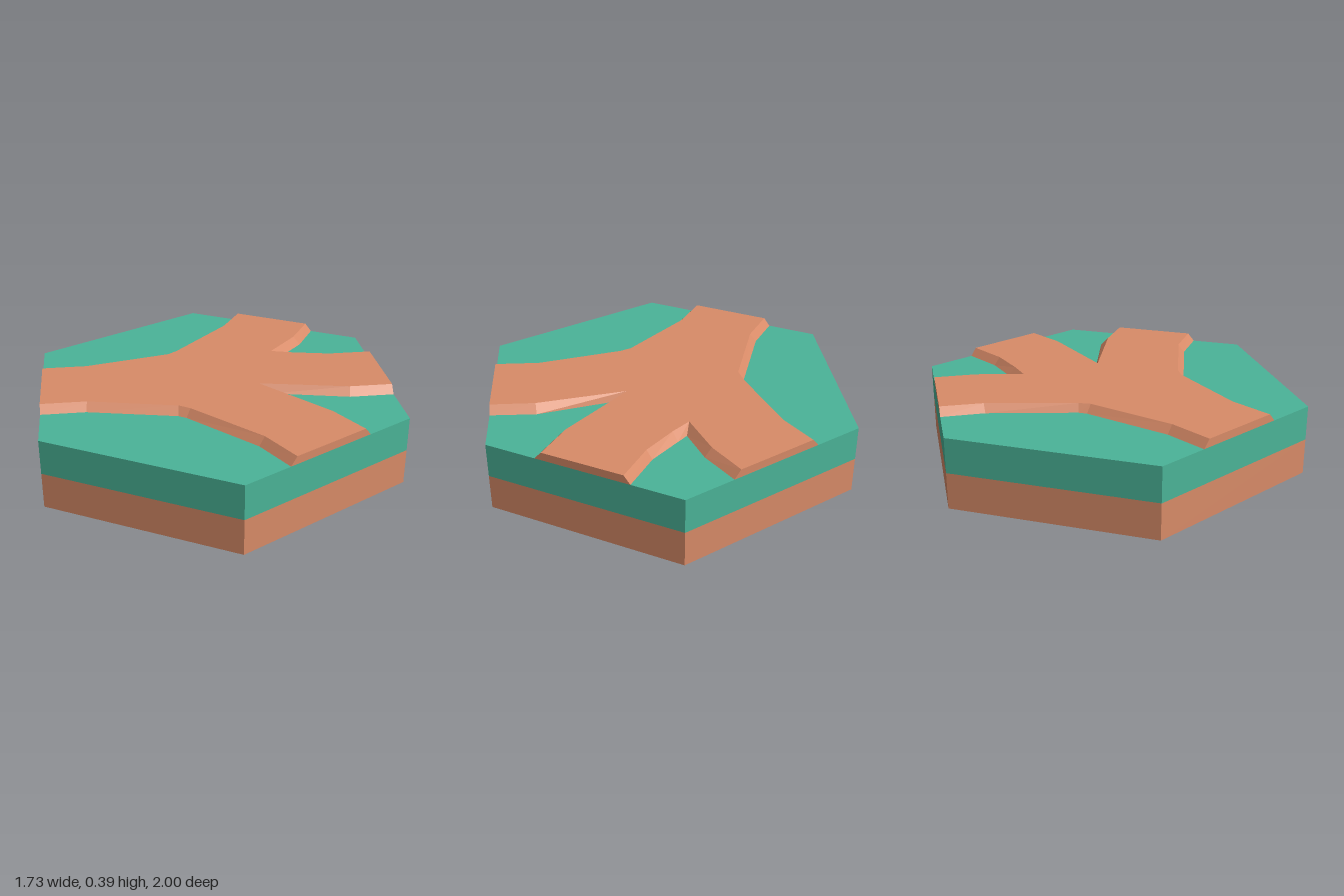
import * as THREE from 'three';

const BASE_TOP = 0.35, SOIL_TOP = 0.178, PATH_TOP = 0.39, EDGE = 0.866;

// Path outline, counter-clockwise seen from above: [top x, top z, foot x, foot z]
const OUTLINE = [
  // front side of the left arm and front arm
  [-EDGE, 0.205, -EDGE, 0.24], [-0.642, 0.205, -0.648, 0.24],
  [-0.21, 0.305, -0.215, 0.338], [-0.158, 0.34, -0.178, 0.362],
  [0.143, 0.66, 0.115, 0.678], [0.25, 0.856, 0.22, 0.873],
  // front notch
  [0.61, 0.648, 0.64, 0.63], [0.503, 0.455, 0.535, 0.432],
  [0.21, 0.11, 0.27, 0.152],
  [0.65, 0.202, 0.645, 0.238], [EDGE, 0.202, EDGE, 0.238],
  // back notch
  [EDGE, -0.21, EDGE, -0.242], [0.645, -0.21, 0.65, -0.242],
  [0.455, -0.25, 0.47, -0.284], [0.343, -0.283, 0.405, -0.3],
  [0.503, -0.465, 0.535, -0.445], [0.61, -0.648, 0.64, -0.63],
  // back side of the back arm and left arm
  [0.25, -0.856, 0.22, -0.873], [0.143, -0.677, 0.115, -0.69],
  [-0.16, -0.347, -0.178, -0.362], [-0.207, -0.311, -0.215, -0.341],
  [-0.642, -0.21, -0.648, -0.243], [-EDGE, -0.21, -EDGE, -0.243],
];

// Flat-topped raised path with sloping banks and upright ends
function pathGeometry() {
  const top = OUTLINE.map(([x, z]) => [x, PATH_TOP, z]);
  const foot = OUTLINE.map(([, , x, z]) => [x, BASE_TOP, z]);
  const flat = OUTLINE.map(([x, z]) => new THREE.Vector2(x, -z));
  const pos = [];
  for (const face of THREE.ShapeUtils.triangulateShape(flat, [])) {
    for (const i of face) pos.push(...top[i]);
  }
  for (let i = 0; i < top.length; i++) {
    const j = (i + 1) % top.length;
    pos.push(...foot[i], ...foot[j], ...top[j], ...foot[i], ...top[j], ...top[i]);
  }
  const geometry = new THREE.BufferGeometry();
  geometry.setAttribute('position', new THREE.Float32BufferAttribute(pos, 3));
  geometry.computeVertexNormals();
  return geometry;
}

// Six-sided slab with a corner towards the front
function hexSlab(name, y0, y1, material) {
  const geometry = new THREE.CylinderGeometry(1, 1, y1 - y0, 6).toNonIndexed();
  geometry.computeVertexNormals();
  const mesh = new THREE.Mesh(geometry, material);
  mesh.name = name;
  mesh.position.y = (y0 + y1) / 2;
  return mesh;
}

export function createModel() {
  const soil = new THREE.MeshStandardMaterial({ color: 0xd88b68 });
  soil.name = 'soil';
  const grass = new THREE.MeshStandardMaterial({ color: 0x4bb498 });
  grass.name = 'grass';

  const group = new THREE.Group();
  group.name = 'pathTile';
  group.add(hexSlab('soilBase', 0, SOIL_TOP, soil));
  group.add(hexSlab('grassLayer', SOIL_TOP, BASE_TOP, grass));

  const path = new THREE.Mesh(pathGeometry(), soil);
  path.name = 'raisedPath';
  group.add(path);
  return group;
}
